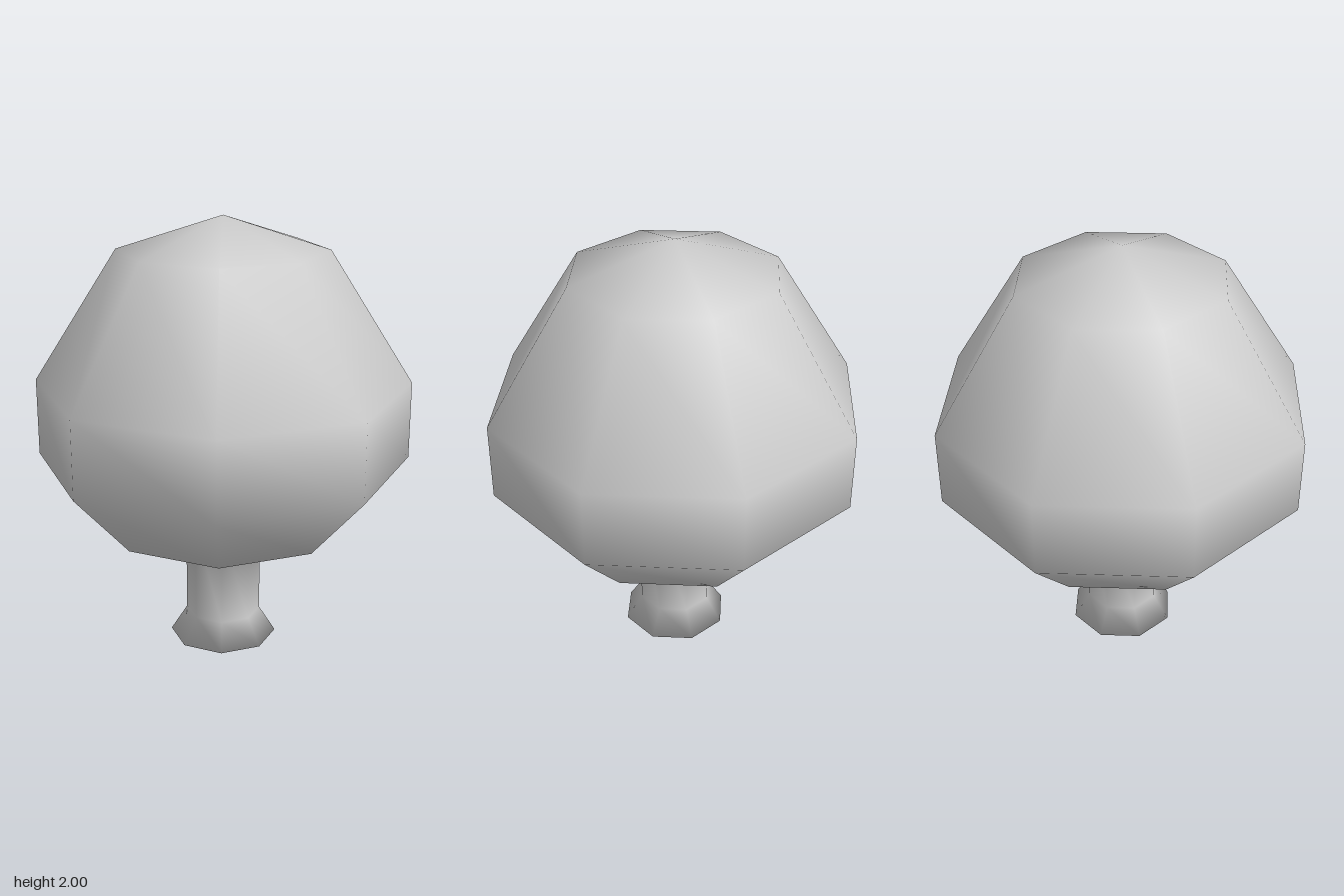
import * as THREE from 'three';
import { mergeVertices } from 'three/addons/utils/BufferGeometryUtils.js';

// Eight-sided turned solid with continuous smooth normals
function smoothLathe(profile, sides) {
  const points = profile.map(([r, y]) => new THREE.Vector2(r, y));
  const lathe = new THREE.LatheGeometry(points, sides);
  lathe.deleteAttribute('uv');
  lathe.deleteAttribute('normal');
  const geometry = mergeVertices(lathe, 1e-4);
  geometry.computeVertexNormals();
  return geometry;
}

export function createModel() {
  const model = new THREE.Group();
  model.name = 'lowPolyTree';

  const grey = new THREE.MeshStandardMaterial({ color: 0xcccccc });
  grey.name = 'plain grey';

  // Trunk and crown are one continuous skin, listed as [radius, height]
  const trunk = [
    [0, 0],         // closed foot
    [0.25, 0],      // flared root
    [0.174, 0.12],
    [0.174, 0.58],
  ];
  const crown = [
    [0.566, 0.58],  // flat underside
    [0.855, 0.895],
    [0.855, 1.25],
    [0.474, 1.85],
    [0, 2],         // tip
  ];

  const tree = new THREE.Mesh(smoothLathe([...trunk, ...crown], 8), grey);
  tree.name = 'trunkAndCrown';
  model.add(tree);
  return model;
}
